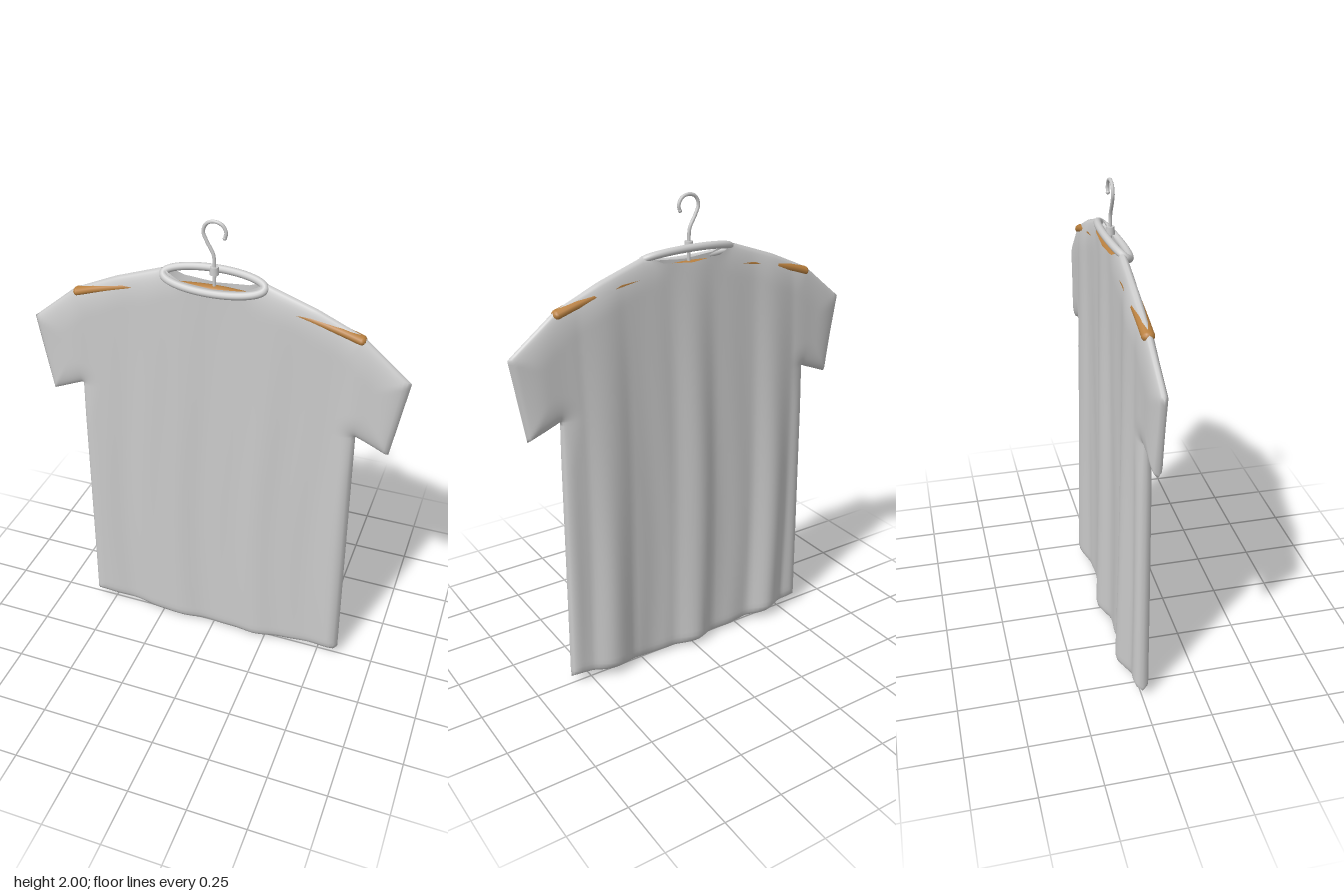
import * as THREE from 'three';
import { mergeVertices } from 'three/addons/utils/BufferGeometryUtils.js';

const ARM = 0.58, PIT = 1.2;
// right half of the outline: neckline, shoulder, sleeve tip
const TOP = [[0, 1.74], [0.13, 1.752], [0.2, 1.785], [0.4, 1.715], [ARM, 1.635], [0.77, 1.48]];
// closed edges of the cloth; the neckline stays open
const EDGE = [...TOP.slice(2), [0.715, 1.145], [ARM, PIT], [0.592, 0.035], [0.2, 0], [0, 0]];

const topY = x => {
  const a = Math.abs(x);
  let i = 1;
  while (i < TOP.length - 1 && a > TOP[i][0]) i++;
  const [p, q] = [TOP[i - 1], TOP[i]];
  return THREE.MathUtils.mapLinear(a, p[0], q[0], p[1], q[1]);
};
const hemY = x => 0.035 * Math.max(0, (Math.abs(x) - 0.2) / 0.392);

function edgeDistance(x, y) {
  const a = Math.abs(x);
  let best = 1;
  for (let i = 1; i < EDGE.length; i++) {
    const [p, q] = [EDGE[i - 1], EDGE[i]];
    const dx = q[0] - p[0], dy = q[1] - p[1];
    const t = THREE.MathUtils.clamp(((a - p[0]) * dx + (y - p[1]) * dy) / (dx * dx + dy * dy), 0, 1);
    best = Math.min(best, Math.hypot(a - p[0] - t * dx, y - p[1] - t * dy));
  }
  return best < 1e-4 ? 0 : best;
}

// depth of the cloth: rounded towards the edges, hanging folds that grow to the hem
function clothZ(x, y, side) {
  const s = THREE.MathUtils.smoothstep(y, 1.0, 1.4);
  const r = THREE.MathUtils.lerp(0.05, 0.12, s);
  const k = 1 - Math.min(edgeDistance(x, y) / r, 1);
  const puff = Math.sqrt(1 - k * k);
  const hang = THREE.MathUtils.clamp(1 - y / 1.75, 0, 1) ** 0.6;
  const fold = Math.cos(x * Math.PI * 5 + 0.25 * Math.sin(y * 2));
  const ripple = 0.003 * Math.sin(x * 37 + Math.sin(y * 3)) * hang;
  const body = 1 - THREE.MathUtils.smoothstep(Math.abs(x), 0.55, 0.65);
  const depth = side > 0
    ? 0.031 - 0.009 * fold * hang * body + ripple
    : -0.028 - 0.038 * Math.max(0, fold) ** 1.3 * hang * body + ripple;
  const drift = 0.008 * Math.sin(Math.abs(x) * 8 + 2) * THREE.MathUtils.smoothstep(Math.abs(x), 0.5, 0.77);
  return drift + depth * puff;
}

function clothGeometry() {
  const pos = [], index = [];
  const ease = t => t * 0.4 + 0.6 * (0.5 - 0.5 * Math.cos(Math.PI * t));
  const body = Array.from({ length: 73 }, (_, i) => ARM * (2 * ease(i / 72) - 1));
  const sleeve = Array.from({ length: 14 }, (_, i) => (i + 1) / 14);
  // every column is a bottom point and a top point
  const low = body.map(x => [[x * 0.592 / ARM, hemY(x * 0.592 / ARM)], [x, PIT]]);
  const arm = s => sleeve.map(t => [
    [s * (ARM + 0.135 * t), PIT - 0.055 * t],
    [s * (ARM + 0.19 * t), topY(ARM + 0.19 * t)]
  ]);
  const high = [...arm(-1).reverse(), ...body.map(x => [[x, PIT], [x, topY(x)]]), ...arm(1)];
  const sheet = (cols, rows, side) => {
    const base = pos.length / 3;
    cols.forEach(([b, t], i) => {
      for (let j = 0; j <= rows; j++) {
        const v = ease(j / rows);
        const x = THREE.MathUtils.lerp(b[0], t[0], v), y = THREE.MathUtils.lerp(b[1], t[1], v);
        pos.push(x, y, clothZ(x, y, side));
        if (i === cols.length - 1 || j === rows) continue;
        const a = base + i * (rows + 1) + j, c = a + rows + 1;
        if (side > 0) index.push(a, c, c + 1, a, c + 1, a + 1);
        else index.push(a, c + 1, c, a, a + 1, c + 1);
      }
    });
  };
  for (const side of [1, -1]) {
    sheet(low, 36, side);
    sheet(high, 30, side);
  }
  let g = new THREE.BufferGeometry();
  g.setAttribute('position', new THREE.Float32BufferAttribute(pos, 3));
  g.setIndex(index);
  g = mergeVertices(g, 1e-4);
  g.computeVertexNormals();
  return g;
}

export function createModel() {
  const group = new THREE.Group();
  const grey = new THREE.MeshStandardMaterial({ color: 0xcccccc });
  const cloth = new THREE.MeshStandardMaterial({ color: 0xcccccc, side: THREE.DoubleSide });
  const wood = new THREE.MeshStandardMaterial({ color: 0xb9803f });
  const add = (name, geometry, material, parent = group) => {
    const m = new THREE.Mesh(geometry, material);
    m.name = name;
    parent.add(m);
    return m;
  };
  const curve = (pts, closed = false) =>
    new THREE.CatmullRomCurve3(pts.map(p => new THREE.Vector3(p[0], p[1], p[2] || 0)), closed);

  add('shirtBody', clothGeometry(), cloth);

  // collar band: an ellipse tilted down to the front
  const ring = Array.from({ length: 32 }, (_, i) => {
    const a = i / 32 * Math.PI * 2;
    return [0.2 * Math.cos(a), 1.765 - 0.032 * Math.sin(a), 0.011 + 0.042 * Math.sin(a)];
  });
  add('collar', new THREE.TubeGeometry(curve(ring, true), 96, 0.015, 12, true), grey);

  // wooden hanger bar with rounded ends
  const hanger = new THREE.Group();
  hanger.name = 'hanger';
  group.add(hanger);
  const bar = [[-0.57, 1.62], [-0.48, 1.648], [-0.28, 1.695], [0, 1.722], [0.28, 1.695], [0.48, 1.648], [0.57, 1.62]];
  add('hangerBar', new THREE.TubeGeometry(curve(bar), 48, 0.019, 12), wood, hanger).scale.z = 1.3;
  for (const s of [-1, 1]) {
    const tip = add('hangerTip', new THREE.SphereGeometry(0.019, 12, 8), wood, hanger);
    tip.position.set(s * 0.57, 1.62, 0);
    tip.scale.z = 1.3;
  }

  // metal hook and ferrule
  const hook = [[0, 1.73], [0, 1.82], [-0.004, 1.865], [-0.03, 1.915], [-0.043, 1.95], [-0.03, 1.982],
    [0, 1.993], [0.032, 1.982], [0.045, 1.955], [0.04, 1.935]];
  add('hook', new THREE.TubeGeometry(curve(hook), 60, 0.007, 8), grey, hanger);
  add('hookTip', new THREE.SphereGeometry(0.008, 10, 8), grey, hanger).position.set(0.04, 1.935, 0);
  add('ferrule', new THREE.CylinderGeometry(0.016, 0.018, 0.03, 16), grey, hanger).position.y = 1.802;
  return group;
}
